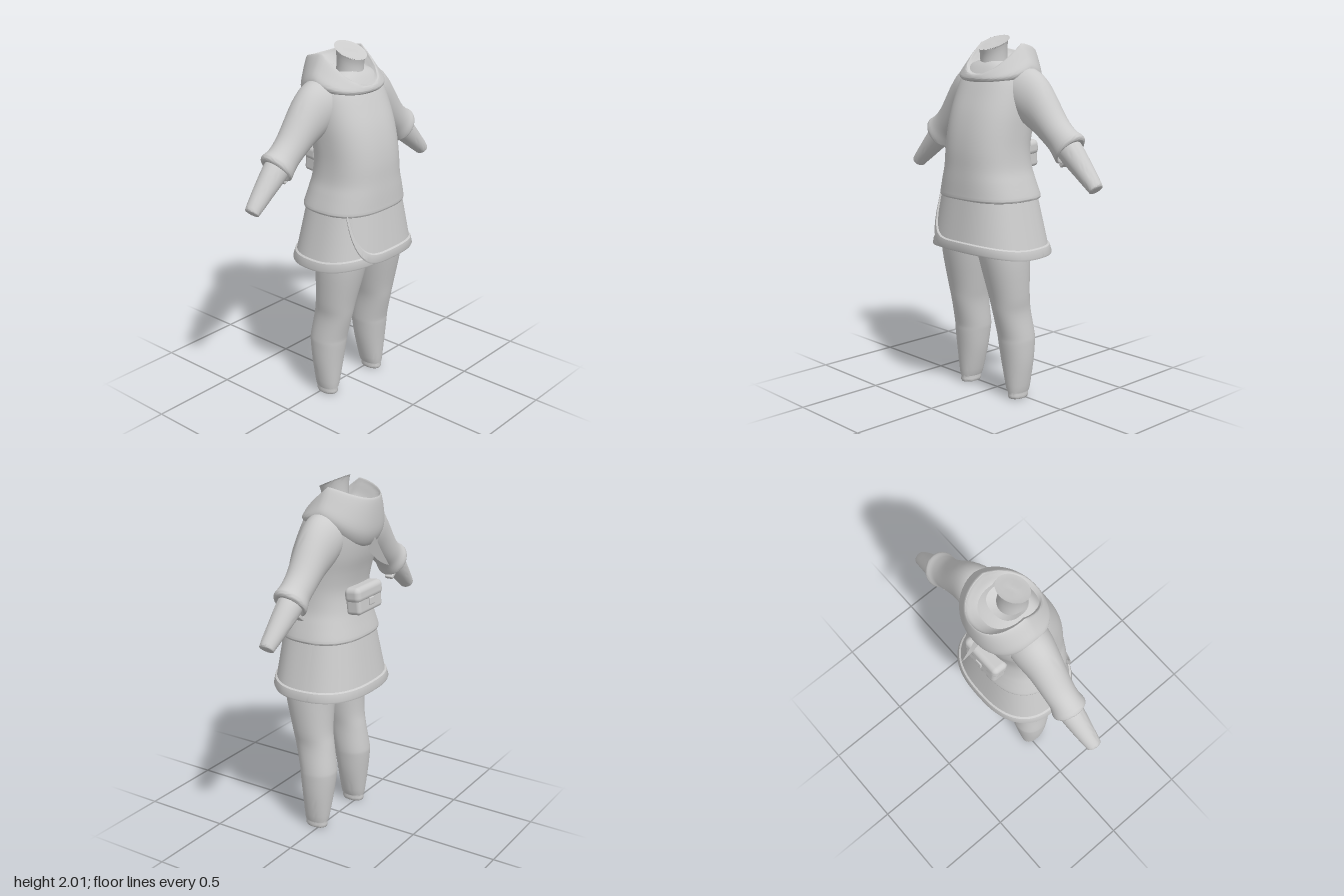
import * as THREE from 'three';
import { toCreasedNormals } from 'three/addons/utils/BufferGeometryUtils.js';
import { RoundedBoxGeometry } from 'three/addons/geometries/RoundedBoxGeometry.js';

const grey = new THREE.MeshStandardMaterial({ color: 0xcccccc });
const thin = new THREE.MeshStandardMaterial({ color: 0xcccccc, side: THREE.DoubleSide });

// Grid surface from point(u, v); u wraps around when closed
function grid(point, nu, nv, closed = true) {
  const pos = [], idx = [], cols = closed ? nu : nu + 1;
  for (let j = 0; j <= nv; j++)
    for (let i = 0; i < cols; i++) pos.push(...point(i / nu, j / nv));
  for (let j = 0; j < nv; j++)
    for (let i = 0; i < nu; i++) {
      const a = j * cols + i, b = j * cols + (i + 1) % cols;
      idx.push(a, b, b + cols, a, b + cols, a + cols);
    }
  const g = new THREE.BufferGeometry();
  g.setAttribute('position', new THREE.Float32BufferAttribute(pos, 3));
  g.setIndex(idx);
  return g;
}

// Smooth interpolation through rows of numbers
function sample(rows, v) {
  const f = v * (rows.length - 1), i = Math.min(Math.floor(f), rows.length - 2), t = f - i;
  const at = k => rows[Math.max(0, Math.min(rows.length - 1, k))];
  return rows[i].map((_, k) => {
    const [p, a, b, n] = [at(i - 1)[k], at(i)[k], at(i + 1)[k], at(i + 2)[k]];
    const m0 = (b - p) / 2, m1 = (n - a) / 2, t2 = t * t, t3 = t2 * t;
    return a * (2 * t3 - 3 * t2 + 1) + m0 * (t3 - 2 * t2 + t) + b * (3 * t2 - 2 * t3) + m1 * (t3 - t2);
  });
}

// Superellipse direction; angle 0 faces the front, positive toward the left
function round(a, n) {
  const p = w => Math.sign(w) * Math.pow(Math.abs(w), 2 / n);
  return [p(Math.sin(a)), p(Math.cos(a))];
}

// Horizontal rings: [y, x0, x1, z0, z1, backward tilt]
function rings(rows, n = 2, nu = 48, steps = 4) {
  return grid((u, v) => {
    const [y, x0, x1, z0, z1, tilt] = sample(rows, v), [s, c] = round(u * Math.PI * 2, n);
    return [(x0 + x1) / 2 + s * (x1 - x0) / 2, y - c * (tilt || 0), (z0 + z1) / 2 + c * (z1 - z0) / 2];
  }, nu, (rows.length - 1) * steps);
}

// Slanted rings along an arm: [top x, top y, bottom x, bottom y, z0, z1]
function armRings(rows) {
  return grid((u, v) => {
    const [xt, yt, xb, yb, z0, z1] = sample(rows, v);
    const c = Math.cos(u * Math.PI * 2), s = Math.sin(u * Math.PI * 2);
    return [(xt + xb) / 2 + c * (xt - xb) / 2, (yt + yb) / 2 + c * (yt - yb) / 2, (z0 + z1) / 2 + s * (z1 - z0) / 2];
  }, 32, (rows.length - 1) * 4);
}

function mirrored(g) {
  const m = g.clone().scale(-1, 1, 1), ix = m.index.array;
  for (let i = 0; i < ix.length; i += 3) [ix[i], ix[i + 1]] = [ix[i + 1], ix[i]];
  return m;
}

// Skirt surface by angle and height, pushed outward by off
function skirtPoint(a, y, off) {
  const t = (1.13 - y) / 0.31, hw = 0.268 + 0.072 * t + off;
  const zf = 0.278 + 0.032 * Math.min(1, t * 1.2) + off, zb = -0.168 - 0.052 * t - off;
  const [s, c] = round(a, 2.5);
  return [s * hw, y, (zf + zb) / 2 + c * (zf - zb) / 2];
}
const hemY = a => 0.82 + 0.035 * Math.pow(Math.max(0, Math.cos(a)), 1.5);

// Skirt wall profile: inner face down, trim band, outer face up; [height above hem, offset]
function skirtWall(yBottom, a, v, base) {
  const rows = [[0.25, -0.02], [0.02, -0.012], [0, -0.006], [0, 0.006], [0.01, 0.011], [0.05, 0.009], [0.056, 0], [0.15, 0], [1, 0]];
  const k = Math.min(Math.round(v * (rows.length - 1)), rows.length - 1), [h, off] = rows[k];
  const y = k === rows.length - 1 ? 1.15 : Math.min(1.15, yBottom + h);
  return skirtPoint(a, y, off + base);
}

export function createModel() {
  const model = new THREE.Group();
  const add = (name, g, material = grey, crease = 0.9) => {
    const mesh = new THREE.Mesh(crease ? toCreasedNormals(g, crease) : g, material);
    mesh.name = name;
    model.add(mesh);
    return mesh;
  };
  const addPair = (name, g) => {
    add('left' + name, g);
    add('right' + name, mirrored(g));
  };

  // Legs with a narrow sock at the ankle
  addPair('Leg', rings([
    [0, 0.197, 0.198, 0.02, 0.021], [0, 0.155, 0.238, -0.035, 0.087], [0.04, 0.152, 0.24, -0.038, 0.09],
    [0.05, 0.138, 0.25, -0.046, 0.096], [0.2, 0.10, 0.272, -0.066, 0.11], [0.32, 0.082, 0.278, -0.08, 0.125],
    [0.37, 0.078, 0.276, -0.079, 0.132], [0.5, 0.075, 0.264, -0.06, 0.165], [0.6, 0.058, 0.274, -0.046, 0.185],
    [0.8, 0.02, 0.285, -0.05, 0.232], [0.92, 0.006, 0.275, -0.07, 0.245], [1.12, 0.004, 0.24, -0.1, 0.23],
  ], 2.15, 36));

  // Skirt and the panel that wraps over its front
  add('skirt', grid((u, v) => {
    const a = u * Math.PI * 2;
    return skirtWall(hemY(a), a, v, 0);
  }, 72, 8), thin, 0.7);
  add('skirtWrapPanel', grid((u, v) => {
    const a = THREE.MathUtils.degToRad(-54 + 154 * u);
    const rise = 0.28 * Math.pow(Math.max(0, -a / 0.942), 3);
    return skirtWall(hemY(a) + rise, a, v, 0.008 * Math.min(1, (1 - u) * 5));
  }, 48, 8, false), thin, 0.7);

  // Jumper body
  const body = [
    [1.17, 0.001, -0.01, 0.03], [1.16, 0.25, -0.14, 0.25], [1.13, 0.276, -0.167, 0.278], [1.138, 0.287, -0.177, 0.288],
    [1.165, 0.281, -0.172, 0.288], [1.23, 0.26, -0.155, 0.286], [1.3, 0.239, -0.14, 0.282], [1.4, 0.23, -0.13, 0.277],
    [1.5, 0.23, -0.148, 0.262], [1.6, 0.232, -0.178, 0.235], [1.7, 0.228, -0.195, 0.195], [1.78, 0.215, -0.195, 0.158],
    [1.84, 0.18, -0.17, 0.12], [1.87, 0.1, -0.1, 0.09],
  ];
  add('body', rings(body.map(([y, w, zb, zf]) => [y, -w, w, zb, zf]), 2.5, 64));

  // Sleeves with puffed cuffs, and tapered forearms
  addPair('Sleeve', armRings([
    [0.13, 1.835, 0.14, 1.6, -0.14, 0.1], [0.235, 1.835, 0.21, 1.54, -0.138, 0.088], [0.33, 1.77, 0.29, 1.49, -0.125, 0.07],
    [0.455, 1.6, 0.37, 1.435, -0.115, 0.055], [0.525, 1.535, 0.41, 1.4, -0.113, 0.053], [0.572, 1.51, 0.44, 1.362, -0.125, 0.06],
    [0.576, 1.485, 0.452, 1.347, -0.12, 0.056], [0.562, 1.473, 0.465, 1.352, -0.108, 0.045], [0.54, 1.47, 0.46, 1.38, -0.09, 0.03],
  ]));
  addPair('Forearm', armRings([
    [0.53, 1.49, 0.45, 1.39, -0.1, 0.038], [0.57, 1.462, 0.487, 1.352, -0.1, 0.034], [0.65, 1.37, 0.58, 1.285, -0.085, 0.027],
    [0.724, 1.28, 0.665, 1.225, -0.067, 0.02], [0.73, 1.258, 0.684, 1.215, -0.06, 0.014], [0.708, 1.236, 0.707, 1.235, -0.021, -0.02],
  ]));
  for (const side of [1, -1]) {
    const tab = add(side > 0 ? 'leftCuffTab' : 'rightCuffTab', new RoundedBoxGeometry(0.06, 0.022, 0.05, 2, 0.006), grey, 0);
    tab.position.set(side * 0.47, 1.35, -0.05);
    tab.rotation.z = side * 0.65;
  }

  // Neck with a tilted flat top
  add('neck', rings([
    [1.78, -0.085, 0.085, -0.06, 0.11, 0], [1.87, -0.076, 0.076, -0.045, 0.1, 0.02], [1.93, -0.078, 0.078, -0.045, 0.1, 0.034],
    [1.965, -0.084, 0.084, -0.05, 0.108, 0.036], [1.965, -0.084, 0.084, -0.05, 0.108, 0.036], [1.965, -0.001, 0.001, 0.028, 0.03, 0],
  ], 2, 32, 3));

  // Lowered hood: [front y, side y, back y, half width, back z, front z]
  const hood = [
    [1.76, 1.78, 1.64, 0.19, -0.165, 0.14], [1.76, 1.795, 1.655, 0.222, -0.2, 0.167], [1.772, 1.84, 1.72, 0.233, -0.23, 0.18],
    [1.785, 1.9, 1.82, 0.2, -0.236, 0.181], [1.8, 1.963, 1.905, 0.158, -0.23, 0.174], [1.802, 1.94, 1.885, 0.146, -0.212, 0.158],
    [1.805, 1.87, 1.84, 0.12, -0.14, 0.13], [1.81, 1.84, 1.82, 0.07, -0.04, 0.08],
  ];
  add('hood', grid((u, v) => {
    const [yf, ys, yb, w, zb, zf] = sample(hood, v), [s, c] = round(u * Math.PI * 2, 2.2);
    const y = c > 0 ? ys + (yf - ys) * c : ys + (yb - ys) * Math.pow(-c, 1.4);
    return [s * w, y, (zb + zf) / 2 + c * (zf - zb) / 2];
  }, 64, 35), thin, 1.1);

  // Thin hanging tip of the hood, in the middle plane
  const tip = new THREE.Shape();
  tip.moveTo(0.18, 1.7);
  tip.lineTo(0.222, 1.7);
  tip.quadraticCurveTo(0.265, 1.62, 0.312, 1.555);
  tip.quadraticCurveTo(0.25, 1.55, 0.18, 1.62);
  add('hoodTip', new THREE.ShapeGeometry(tip, 8).rotateY(Math.PI / 2), thin, 0);

  // Pouch on the back with an overhanging flap
  const pouch = new THREE.Group();
  pouch.name = 'pouch';
  const box = (name, w, h, d, r, y, z) => {
    const m = new THREE.Mesh(new RoundedBoxGeometry(w, h, d, 4, r), grey);
    m.name = name;
    m.position.set(0, y, z);
    pouch.add(m);
  };
  box('pouchBody', 0.24, 0.125, 0.09, 0.022, -0.012, 0);
  box('pouchFlap', 0.258, 0.085, 0.1, 0.03, 0.035, -0.002);
  box('pouchClasp', 0.045, 0.04, 0.014, 0.005, -0.015, -0.048);
  pouch.position.set(0, 1.352, -0.157);
  pouch.rotation.x = 0.1;
  model.add(pouch);

  return model;
}
